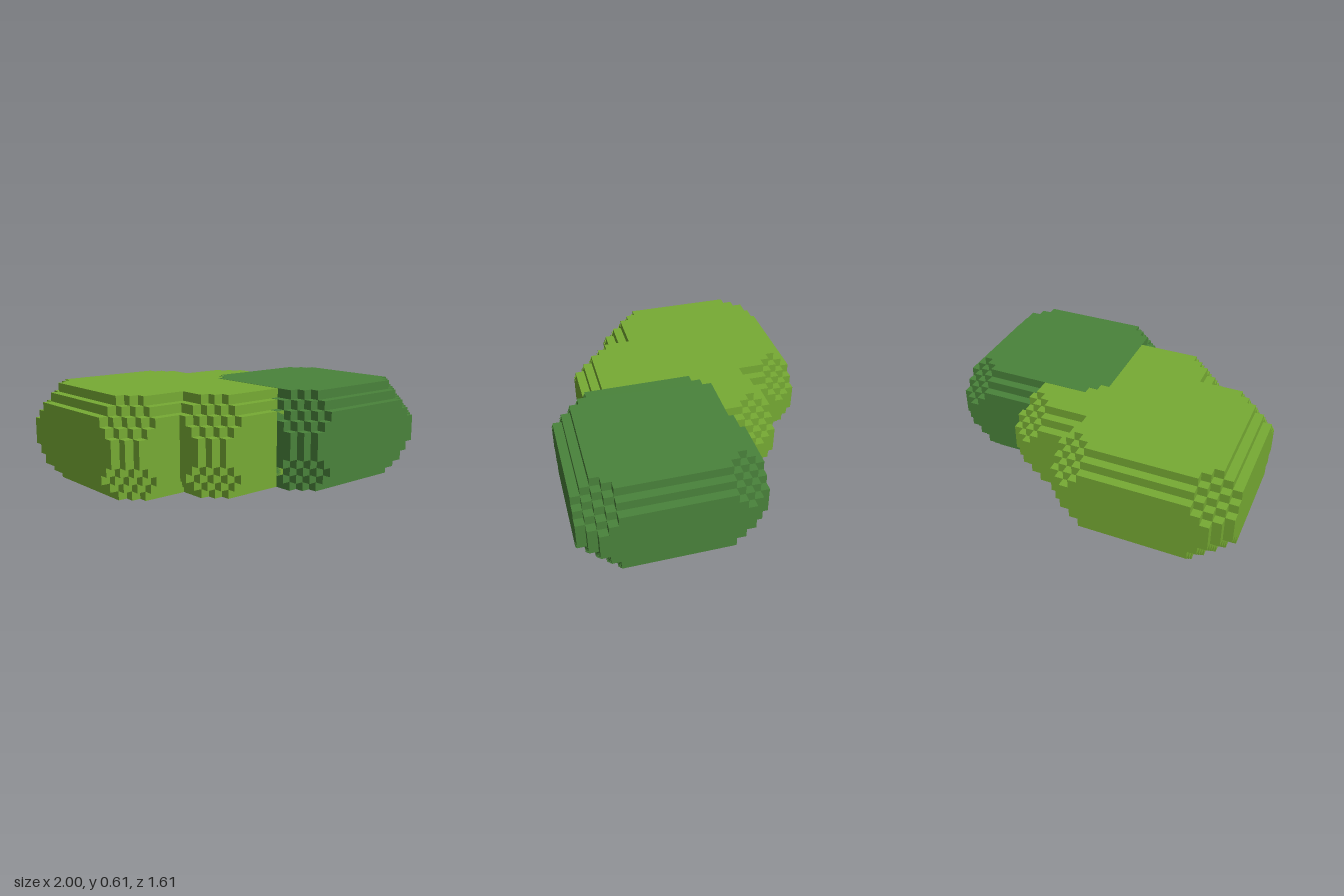
import * as THREE from 'three';

const U = 1 / 18;   // size of one block step
const HALF = 10;    // half width of a stone in steps
const HEIGHT = 11;  // height of a stone in steps

const lightGreen = new THREE.MeshStandardMaterial({ color: 0x77ab34 });
const darkGreen = new THREE.MeshStandardMaterial({ color: 0x4a833b });
lightGreen.name = 'lightGreen';
darkGreen.name = 'darkGreen';

// Square outline with stair-stepped corners: sides pulled in by inset,
// corners cut where the two depths add up to less than cut
function steppedOutline(inset, cut) {
  const corner = [];
  for (let c = inset; c <= cut - inset; c++) {
    const y = HALF - (cut - c);
    corner.push([HALF - c, y]);
    if (c < cut - inset) corner.push([HALF - c - 1, y]);
  }
  const points = [];
  for (let q = 0; q < 4; q++) {
    for (const [x, y] of corner) {
      const turned = [[x, y], [-y, x], [-x, -y], [y, -x]][q];
      points.push(new THREE.Vector2(turned[0] * U, turned[1] * U));
    }
  }
  return new THREE.Shape(points);
}

function slab(depth, bottom, height, material) {
  const outline = steppedOutline(Math.max(0, 2 - depth), Math.max(2, 6 - depth));
  const geometry = new THREE.ExtrudeGeometry(outline, { depth: height * U, bevelEnabled: false });
  geometry.rotateX(-Math.PI / 2);
  geometry.translate(0, (bottom - HEIGHT / 2) * U, 0);
  const mesh = new THREE.Mesh(geometry, material);
  mesh.name = 'layer';
  return mesh;
}

// Rounded block built from stacked layers, mirrored top and bottom
function roundedBlock(name, x, z, material) {
  const block = new THREE.Group();
  block.name = name;
  for (let d = 0; d < 4; d++) {
    block.add(slab(d, d, 1, material), slab(d, HEIGHT - 1 - d, 1, material));
  }
  block.add(slab(4, 4, HEIGHT - 8, material));
  block.position.set(x * U, HEIGHT / 2 * U, z * U);
  return block;
}

export function createModel() {
  const model = new THREE.Group();
  model.name = 'blockCluster';
  const front = roundedBlock('darkFrontBlock', 8, 4.5, darkGreen);
  front.scale.y = 1.003; // keeps the dark top and bottom just outside the light ones
  model.add(
    roundedBlock('lightBackBlock', -8, -4.5, lightGreen),
    roundedBlock('lightMiddleBlock', -1, 0.5, lightGreen),
    front
  );
  return model;
}
